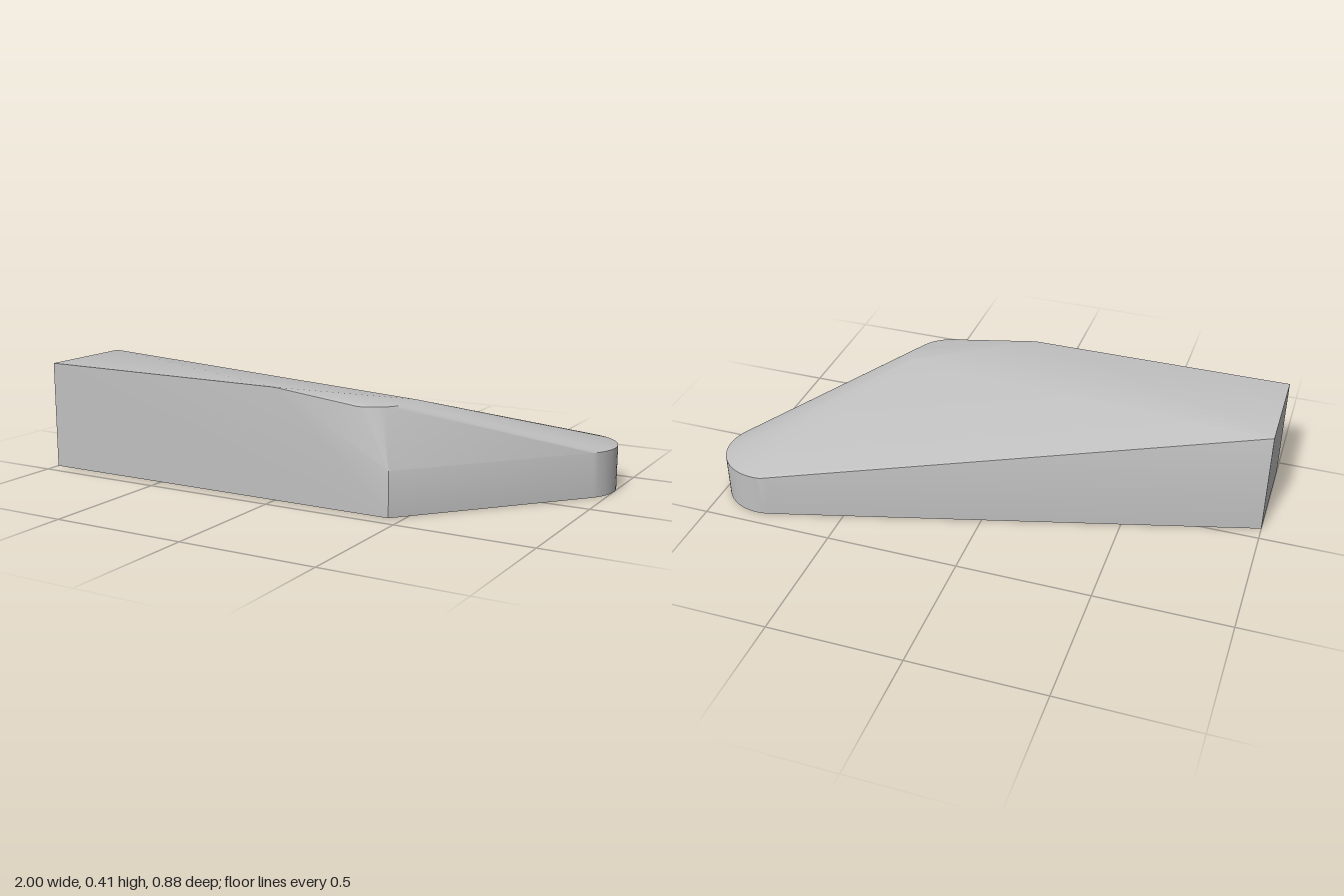
import * as THREE from 'three';
import { ConvexGeometry } from 'three/addons/geometries/ConvexGeometry.js';
import { toCreasedNormals } from 'three/addons/utils/BufferGeometryUtils.js';

const V = (x, y, z) => new THREE.Vector3(x, y, z);

// Points on a level arc; angles in degrees, 90 points to +z
function arc(cx, cz, r, y, from, to, steps) {
  return Array.from({ length: steps + 1 }, (_, i) => {
    const a = THREE.MathUtils.degToRad(from + ((to - from) * i) / steps);
    return V(cx + r * Math.cos(a), y, cz + r * Math.sin(a));
  });
}

export function createModel() {
  const grey = new THREE.MeshStandardMaterial({ color: 0xc0c0c0 });
  grey.name = 'plainGrey';

  const points = [
    // square butt end
    V(-1, 0, 0.44), V(-1, 0, 0.06), V(-1, 0.405, 0.44), V(-1, 0.405, 0.06),
    // end of the level top edge
    V(0, 0.405, 0.44),
    // upright front corner
    V(0.45, 0, 0.44), V(0.45, 0.163, 0.44),
    // rounded shoulder above the corner
    ...arc(0.3, 0.27, 0.15, 0.365, -24, 82, 14),
    // rounded low tip, bottom and top rims
    ...arc(0.818, -0.262, 0.182, 0, -106, 40, 22),
    ...arc(0.818, -0.262, 0.182, 0.163, -106, 40, 22),
  ];

  const geometry = toCreasedNormals(new ConvexGeometry(points), 0.42);
  const body = new THREE.Mesh(geometry, grey);
  body.name = 'taperedBody';

  const model = new THREE.Group();
  model.name = 'taperedBlock';
  model.add(body);
  return model;
}
